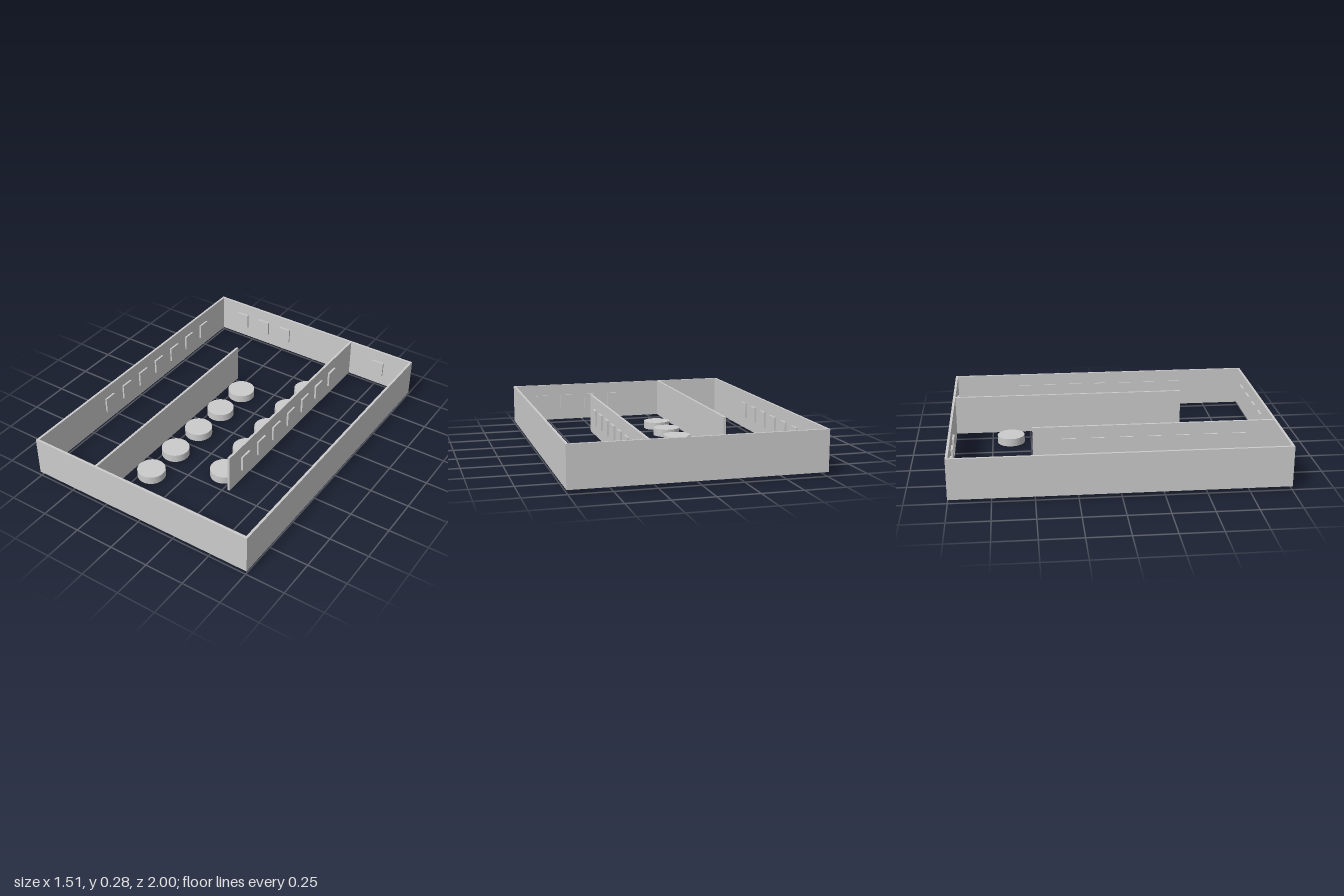
import * as THREE from 'three';

export function createModel() {
  const model = new THREE.Group();
  const material = new THREE.MeshStandardMaterial({ color: 0xcccccc });
  const W = 0.757, L = 1, T = 0.015;   // half width, half length, wall thickness
  const H = 0.25, wallY = 0.15;        // wall height and centre

  const add = (name, geometry, x, y, z) => {
    const mesh = new THREE.Mesh(geometry, material);
    mesh.name = name;
    mesh.position.set(x, y, z);
    model.add(mesh);
  };
  const wall = (name, w, d, x, z) => add(name, new THREE.BoxGeometry(w, H, d), x, wallY, z);

  // Outer walls
  wall('frontWall', 2 * W, T, 0, L - T / 2);
  wall('backWall', 2 * W, T, 0, -L + T / 2);
  wall('leftWall', T, 2 * L - 2 * T, W - T / 2, 0);
  wall('rightWall', T, 2 * L - 2 * T, -W + T / 2, 0);

  // Partitions, each joined to one end wall
  wall('leftPartition', T, 1.5 - T, 0.3, -0.25 + T / 2);
  wall('rightPartition', T, 1.5 - T, -0.303, 0.25 - T / 2);

  // Picture panels hung on the walls
  const P = 0.012, panelW = 0.083, panelH = 0.1;
  const alongZ = new THREE.BoxGeometry(P, panelH, panelW);
  const alongX = new THREE.BoxGeometry(panelW, panelH, P);
  for (let i = 0; i < 7; i++) {
    const z = i * 0.1747;
    add('rightWallPicture', alongZ, -W + T + P / 2, wallY, -0.714 + z);
    add('leftPartitionPicture', alongZ, 0.3 + T / 2 + P / 2, wallY, -0.714 + z);
    add('rightPartitionPicture', alongZ, -0.303 - T / 2 - P / 2, wallY, -0.28 + z);
    add('leftWallPicture', alongZ, W - T - P / 2, wallY, -0.524 + z);
  }
  for (const x of [-0.57, -0.395, -0.22, 0.52]) {
    add('backWallPicture', alongX, x, wallY, -L + T + P / 2);
  }
  for (const x of [0.037, 0.212, 0.387, 0.562]) {
    add('frontWallPicture', alongX, x, wallY, L - T - P / 2);
  }

  // Two rows of round plinths
  const plinth = new THREE.CylinderGeometry(0.0875, 0.0875, 0.05, 32);
  for (let i = 0; i < 5; i++) {
    add('leftPlinth', plinth, 0.18, 0.025, -0.63 + i * 0.25);
    add('rightPlinth', plinth, -0.19, 0.025, -0.38 + i * 0.25);
  }

  return model;
}
